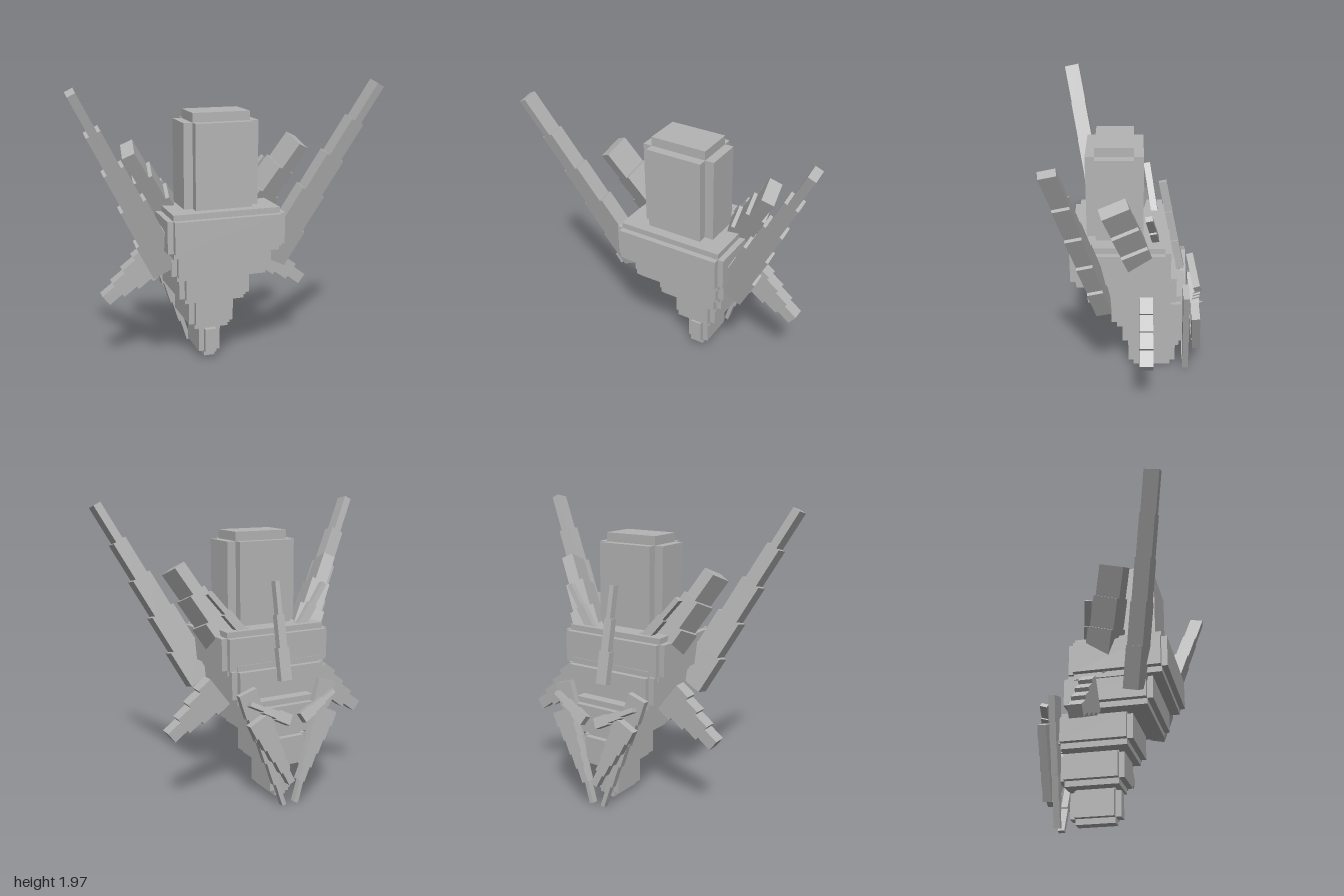
import * as THREE from 'three';

export function createModel() {
  const model = new THREE.Group();
  const grey = new THREE.MeshStandardMaterial({ color: 0xb4b4b4, flatShading: true });
  grey.name = 'plain grey';
  const deg = Math.PI / 180;

  function box(parent, name, x0, x1, y0, y1, z0, z1) {
    const mesh = new THREE.Mesh(new THREE.BoxGeometry(x1 - x0, y1 - y0, z1 - z0), grey);
    mesh.position.set((x0 + x1) / 2, (y0 + y1) / 2, (z0 + z1) / 2);
    mesh.name = name;
    parent.add(mesh);
  }

  // Block with notched edges: three boxes, each pushed out along one axis
  function block(name, halfX, y0, y1, z0, z1, c = 0.038) {
    const g = new THREE.Group();
    g.name = name;
    const x = halfX - c;
    box(g, name + 'Wide', -halfX, halfX, y0 + c, y1 - c, z0 + c, z1 - c);
    box(g, name + 'Deep', -x, x, y0 + c, y1 - c, z0, z1);
    box(g, name + 'Tall', -x, x, y0, y1, z0 + c, z1 - c);
    model.add(g);
  }

  // Body, from the head down to the tapered foot
  block('head', 0.25, 1.06, 1.775, -0.07, 0.295, 0.06);
  block('chest', 0.395, 0.88, 1.165, -0.245, 0.4);
  block('waist', 0.345, 0.692, 0.95, -0.287, 0.295);
  block('hips', 0.25, 0.472, 0.715, -0.365, 0.145);
  block('lowerBody', 0.16, 0.25, 0.495, -0.36, 0.07);
  block('foot', 0.078, 0.022, 0.27, -0.305, 0.03);

  // Stepped blade: starts at its tip and widens segment by segment
  function blade(name, s, o) {
    const g = new THREE.Group();
    g.name = name;
    for (let i = 0; i < o.n; i++) {
      const w = (o.w + i * o.step) / 2;
      box(g, name + 'Segment', -w, w, -(i + 1) * o.len, -i * o.len, -o.thick / 2, o.thick / 2);
    }
    const [rx, ry, rz] = o.rot;
    g.position.set(s * o.tip[0], o.tip[1], o.tip[2]);
    g.rotation.set(rx * deg, s * ry * deg, s * rz * deg);
    model.add(g);
  }

  const blades = {
    longWing: { tip: [0.97, 1.945, 0.44], rot: [12, 0, -27.3], n: 5, len: 0.268, w: 0.053, step: 0.042, thick: 0.1 },
    middleWing: { tip: [0.58, 1.55, 0.11], rot: [21, 8, -30], n: 4, len: 0.2, w: 0.085, step: 0.05, thick: 0.175 },
    backRod: { tip: [0.43, 1.41, -0.1], rot: [11, 0, -38], n: 3, len: 0.17, w: 0.035, step: 0.025, thick: 0.045 },
    sideFin: { tip: [0.717, 0.503, -0.087], rot: [0, 0, -127], n: 4, len: 0.108, w: 0.08, step: 0.05, thick: 0.088 },
    tailBlade: { tip: [0.045, 0.007, -0.383], rot: [2.2, 0, 162.5], n: 5, len: 0.168, w: 0.03, step: 0.025, thick: 0.043 },
    tailPlate: { tip: [0.035, 0.19, -0.455], rot: [4.5, 0, 154], n: 5, len: 0.1, w: 0.05, step: 0.026, thick: 0.057 },
    tailRod: { tip: [0.31, 0.745, -0.415], rot: [18, 0, -62], n: 3, len: 0.1, w: 0.03, step: 0.02, thick: 0.05 },
  };
  for (const [name, o] of Object.entries(blades)) {
    for (const s of [1, -1]) blade(name + (s > 0 ? 'Left' : 'Right'), s, o);
  }

  // Single spike along the middle of the back
  blade('backSpike', 1, { tip: [0, 1.467, -0.195], rot: [11.5, 0, 0], n: 3, len: 0.215, w: 0.032, step: 0.024, thick: 0.052 });

  return model;
}
